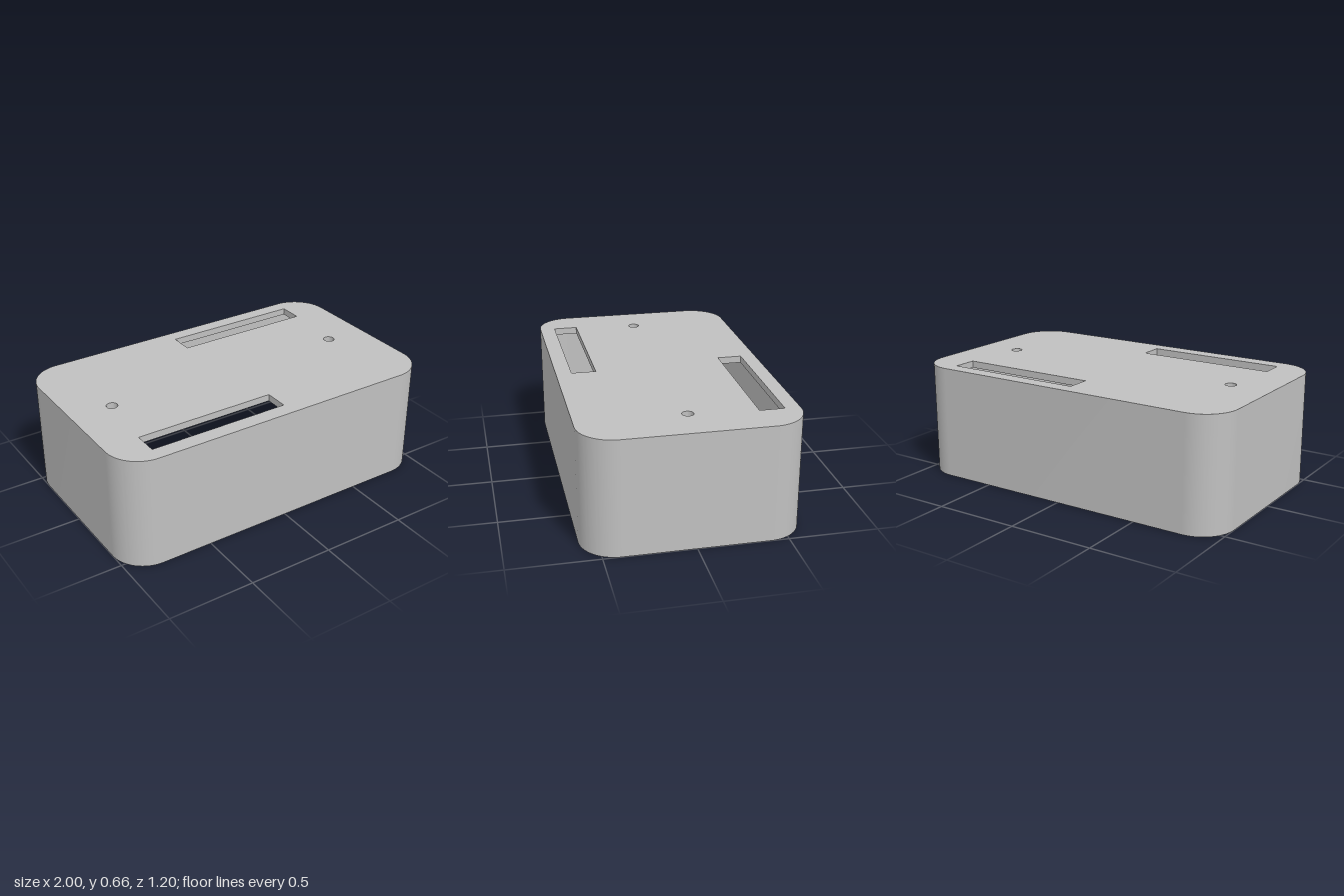
import * as THREE from 'three';
import { toCreasedNormals } from 'three/addons/utils/BufferGeometryUtils.js';

const HEIGHT = 0.66, WALL = 0.04, CEILING = HEIGHT - WALL;

// All outlines run counter-clockwise seen from above, with outline y = -z.
function roundedRect(halfW, halfD, r) {
  const s = new THREE.Shape();
  s.absarc(halfW - r, halfD - r, r, 0, Math.PI / 2);
  s.absarc(-halfW + r, halfD - r, r, Math.PI / 2, Math.PI);
  s.absarc(-halfW + r, -halfD + r, r, Math.PI, Math.PI * 1.5);
  s.absarc(halfW - r, -halfD + r, r, Math.PI * 1.5, Math.PI * 2);
  return s.getSpacedPoints(4).length && cleanLoop(s.getPoints(16));
}

// Drop repeated points, including the closing one
function cleanLoop(points) {
  return points.filter((p, i) => p.distanceTo(points[(i + 1) % points.length]) > 1e-5);
}

function rectangle(x0, x1, y0, y1) {
  return [[x0, y0], [x1, y0], [x1, y1], [x0, y1]].map(([x, y]) => new THREE.Vector2(x, y));
}

function circle(x, y, r) {
  return cleanLoop(new THREE.Path().absarc(x, y, r, 0, Math.PI * 2).getPoints(16));
}

// Flat horizontal face with openings, facing up (1) or down (-1)
function flatFace(outline, holes, y, facing) {
  const turn = (pts) => pts.map((p) => new THREE.Vector2(p.x, p.y * facing));
  const shape = new THREE.Shape(turn(outline));
  shape.holes = holes.map((h) => new THREE.Path(turn(h)));
  return new THREE.ShapeGeometry(shape).rotateX(-facing * Math.PI / 2).translate(0, y, 0);
}

// Upright band along an outline, facing outward or inward
function band(outline, y0, y1, inward) {
  const loop = inward ? [...outline].reverse() : outline;
  const pos = [];
  loop.forEach((a, i) => {
    const b = loop[(i + 1) % loop.length];
    pos.push(a.x, y0, -a.y, b.x, y0, -b.y, b.x, y1, -b.y);
    pos.push(a.x, y0, -a.y, b.x, y1, -b.y, a.x, y1, -a.y);
  });
  const geo = new THREE.BufferGeometry();
  geo.setAttribute('position', new THREE.Float32BufferAttribute(pos, 3));
  return toCreasedNormals(geo, 0.5);
}

export function createModel() {
  const group = new THREE.Group();
  group.name = 'enclosure';
  const grey = new THREE.MeshStandardMaterial({ color: 0xc0c0c0 });
  grey.name = 'grey';
  const add = (name, geo) => {
    const mesh = new THREE.Mesh(geo, grey);
    mesh.name = name;
    group.add(mesh);
  };

  const outer = roundedRect(1, 0.6, 0.2);
  const inner = roundedRect(1 - WALL, 0.6 - WALL, 0.2 - WALL);
  const openings = {
    backSlot: rectangle(-0.04, 0.785, 0.375, 0.515),
    frontSlot: rectangle(-0.79, 0.035, -0.51, -0.37),
    leftScrewHole: circle(0.75, 0, 0.032),
    rightScrewHole: circle(-0.75, 0, 0.032),
  };
  const holes = Object.values(openings);

  // Shell, open at the bottom
  add('outerWall', band(outer, 0, HEIGHT, false));
  add('innerWall', band(inner, 0, CEILING, true));
  add('bottomRim', flatFace(outer, [inner], 0, -1));
  add('topFace', flatFace(outer, holes, HEIGHT, 1));
  add('ceiling', flatFace(inner, holes, CEILING, -1));

  // Linings of the slots and screw holes through the top
  for (const [name, loop] of Object.entries(openings)) {
    add(name, band(loop, CEILING, HEIGHT, true));
  }
  return group;
}
